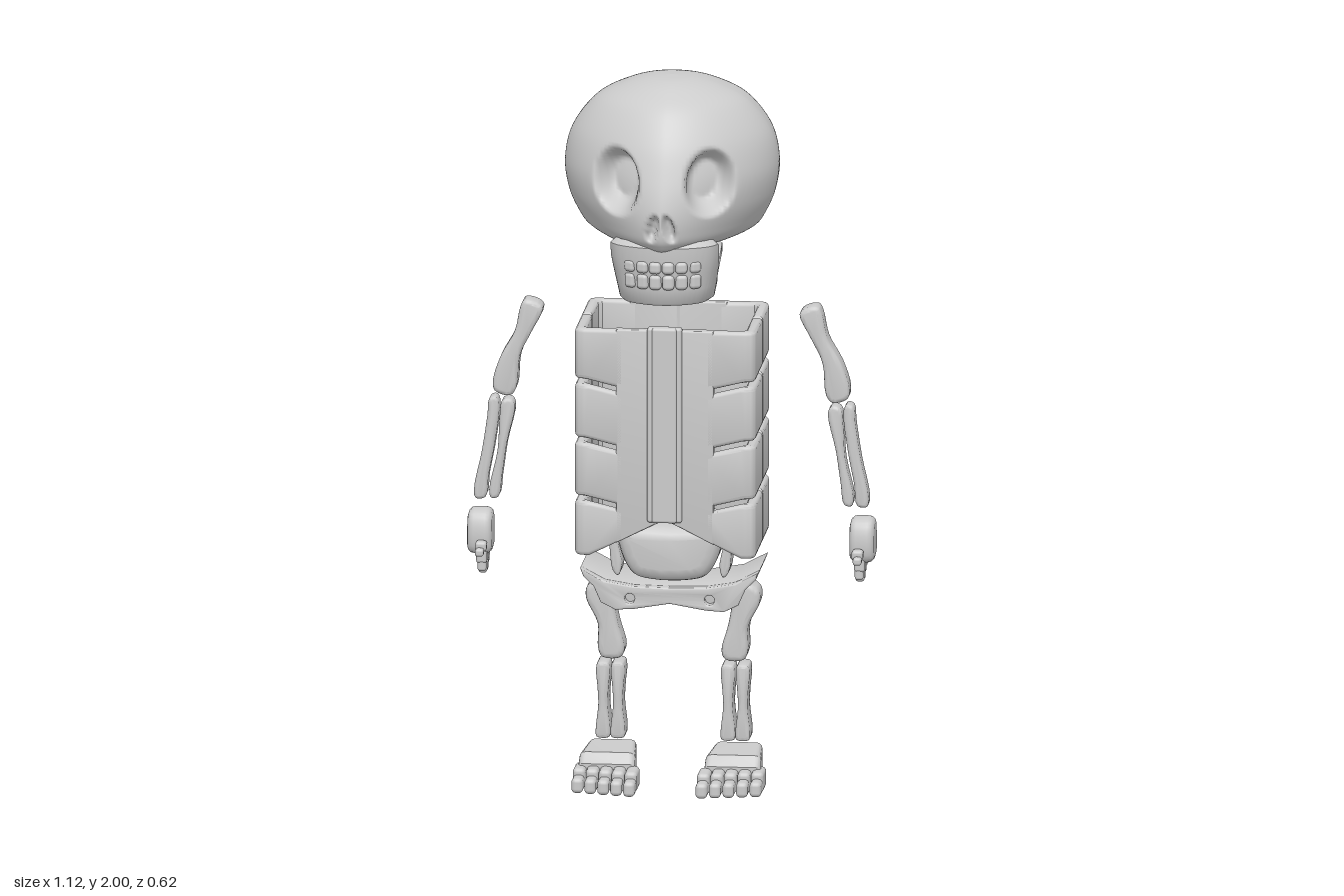
import * as THREE from 'three';
import { mergeVertices, toCreasedNormals } from 'three/addons/utils/BufferGeometryUtils.js';
import { RoundedBoxGeometry } from 'three/addons/geometries/RoundedBoxGeometry.js';

const mat = new THREE.MeshStandardMaterial({ color: 0xcccccc });
const V2 = (p) => new THREE.Vector2(p[0], p[1]);

function add(group, name, geo) {
  const mesh = new THREE.Mesh(geo, mat);
  mesh.name = name;
  group.add(mesh);
  return mesh;
}

// Mirror a geometry in x, keeping faces outward
function mirror(geo) {
  const g = geo.index ? geo.clone() : mergeVertices(geo.clone());
  g.scale(-1, 1, 1);
  const ix = g.index.array;
  for (let i = 0; i < ix.length; i += 3) [ix[i], ix[i + 1]] = [ix[i + 1], ix[i]];
  return g;
}

function addPair(group, name, geo) {
  add(group, name + 'Left', geo);
  add(group, name + 'Right', mirror(geo));
}

// Flat piece with bevelled rim, centred on z = 0
function slab(points, depth, { smooth = false, bevel = 0.01, holes = [] } = {}) {
  const pts = points.map(V2);
  const shape = new THREE.Shape();
  if (smooth) {
    const curve = new THREE.CatmullRomCurve3(pts.map((p) => new THREE.Vector3(p.x, p.y, 0)), true);
    shape.setFromPoints(curve.getPoints(pts.length * 4).slice(0, -1).map((p) => new THREE.Vector2(p.x, p.y)));
  } else shape.setFromPoints(pts);
  for (const [x, y, r] of holes) shape.holes.push(new THREE.Path().absarc(x, y, r, 0, Math.PI * 2, true));
  const g = new THREE.ExtrudeGeometry(shape, {
    depth: depth - 2 * bevel, bevelSize: bevel, bevelThickness: bevel, bevelOffset: -bevel, bevelSegments: 3, curveSegments: 12,
  });
  g.translate(0, 0, -depth / 2 + bevel);
  return toCreasedNormals(g, 0.6);
}

// Skin through closed rings of points
function loft(rings) {
  const n = rings[0].length, idx = [];
  for (let i = 0; i < rings.length - 1; i++) for (let j = 0; j < n; j++) {
    const a = i * n + j, b = i * n + (j + 1) % n;
    idx.push(a, b, a + n, b, b + n, a + n);
  }
  const g = new THREE.BufferGeometry().setFromPoints(rings.flat());
  g.setIndex(idx);
  g.computeVertexNormals();
  return g;
}

const box = (w, h, d, x, y, z, r = 0.012) => new RoundedBoxGeometry(w, h, d, 3, r).translate(x, y, z);
const smoothstep = THREE.MathUtils.smoothstep;

function cranium() {
  // y, half width, front z, back z
  const rows = [[2, 0, 0, 0], [1.993, 0.07, 0.07, -0.08], [1.972, 0.14, 0.13, -0.15], [1.93, 0.215, 0.19, -0.22],
    [1.85, 0.275, 0.245, -0.28], [1.76, 0.295, 0.282, -0.308], [1.68, 0.285, 0.305, -0.31],
    [1.62, 0.26, 0.31, -0.285], [1.58, 0.23, 0.3, -0.235], [1.555, 0.17, 0.26, -0.16], [1.545, 0.08, 0.12, -0.07], [1.545, 0, 0, 0]];
  const front = new THREE.CatmullRomCurve3(rows.map((r) => new THREE.Vector3(r[1], r[0], r[2])), false, 'catmullrom');
  const back = new THREE.CatmullRomCurve3(rows.map((r) => new THREE.Vector3(0, r[0], r[3])), false, 'catmullrom');
  const rings = [], NU = 160, NV = 110;
  for (let i = 0; i <= NV; i++) {
    const f = front.getPoint(i / NV), zb = back.getPoint(i / NV).z, ring = [];
    const pointed = 2 / (1.45 + 0.25 * smoothstep(f.y, 1.56, 1.78));
    for (let j = 0; j < NU; j++) {
      const a = (j / NU) * Math.PI * 2, c = Math.cos(a), s = Math.sin(a);
      const e = s > 0 ? pointed : 0.9;
      const p = new THREE.Vector3(f.x * Math.sign(c) * Math.abs(c) ** e, f.y, (s > 0 ? f.z : -zb) * Math.sign(s) * Math.abs(s) ** e);
      if (s > 0) {
        // Eye sockets and nose openings pressed inward
        const side = Math.sign(p.x), ax = Math.abs(p.x), y = p.y;
        const eye = 1 - smoothstep(Math.hypot((ax - 0.13) / 0.064, (y - 1.747) / 0.09), 0.55, 1.08);
        const nose = 1 - smoothstep(Math.hypot((ax - 0.015 - (1.665 - y) * 0.2) / 0.015, (y - 1.63) / 0.04), 0.5, 1.1);
        p.x -= side * 0.025 * eye;
        p.z -= 0.07 * eye + 0.035 * nose;
      }
      ring.push(p);
    }
    rings.push(ring);
  }
  return loft(rings);
}

function jaw() {
  const half = [[0.118, -0.03], [0.122, 0.04], [0.128, 0.1], [0.126, 0.16], [0.108, 0.212], [0.062, 0.247]];
  const path = [...half, [0, 0.262], ...half.slice().reverse().map(([x, z]) => [-x, z])];
  const curve = new THREE.CatmullRomCurve3(path.map(([x, z]) => new THREE.Vector3(x, 0, z)));
  // inward offset and share of the height
  const section = [[0.006, 0], [0, 0.04], [0, 0.25], [0, 0.5], [0, 0.75], [0.004, 0.92], [0.02, 1], [0.03, 0.96], [0.03, 0.04], [0.024, 0]];
  const rings = [], N = 120;
  for (let i = 0; i <= N; i++) {
    const p = curve.getPointAt(i / N), t = curve.getTangentAt(i / N);
    const ramus = 1.455 + 0.075 * (1 - smoothstep(p.z, 0.01, 0.055));
    const top = ramus + (1.585 - ramus) * smoothstep(p.z, 0.125, 0.185);
    rings.push(section.map(([o, k]) => {
      const y = 1.405 + k * (top - 1.405), h = (y - 1.405) / 0.17;
      return new THREE.Vector3((p.x - t.z * o) * (1 + 0.28 * h), y, p.z + t.x * o + 0.025 * h * smoothstep(p.z, 0, 0.25));
    }));
  }
  const cap = (ring) => {
    const c = ring.reduce((s, p) => s.add(p), new THREE.Vector3()).divideScalar(ring.length);
    return ring.map(() => c.clone());
  };
  return toCreasedNormals(loft([cap(rings[0]), ...rings, cap(rings[N])]), 0.7);
}

// Corner-shaped rib; upper and lower edges follow rules of x
function rib(lower, upper) {
  const s = new THREE.Shape();
  s.moveTo(0.12, 0.195).lineTo(0.21, 0.195).lineTo(0.222, 0.195).quadraticCurveTo(0.25, 0.195, 0.25, 0.167);
  s.lineTo(0.25, 0.006).lineTo(0.22, 0.006).lineTo(0.22, 0.155).lineTo(0.21, 0.165).lineTo(0.12, 0.165);
  const b = 0.011;
  const g = new THREE.ExtrudeGeometry(s, { depth: 0.14 - 2 * b, bevelSize: b, bevelThickness: b, bevelOffset: -b, bevelSegments: 3, curveSegments: 6 });
  g.rotateX(Math.PI / 2);
  const p = g.attributes.position;
  for (let i = 0; i < p.count; i++) {
    const x = p.getX(i), t = (p.getY(i) - b) / 0.14 + 1;
    p.setY(i, THREE.MathUtils.lerp(lower(x), upper(x), t));
  }
  return toCreasedNormals(g, 0.6);
}

export function createModel() {
  const model = new THREE.Group();
  model.name = 'skeleton';

  // Head
  const head = new THREE.Group();
  head.name = 'head';
  model.add(head);
  add(head, 'cranium', cranium());
  add(head, 'jaw', jaw());
  for (let k = 0; k < 6; k++) {
    const x = (k - 2.5) * 0.035, z = 0.275 - 3.6 * x * x;
    for (const [name, y, h] of [['upperTooth', 1.516, 0.034], ['lowerTooth', 1.474, 0.042]]) {
      const m = add(head, name, new RoundedBoxGeometry(0.033, h, 0.03, 3, 0.011));
      m.position.set(x, y, z - (y < 1.5 ? 0.006 : 0));
      m.rotation.y = Math.atan(7.2 * x);
    }
  }

  // Spine with a notched neck
  add(model, 'spine', slab([[-0.215, 0.78], [-0.17, 0.8], [-0.165, 1.33], [-0.13, 1.34], [-0.13, 1.455], [-0.165, 1.465],
    [-0.165, 1.5], [-0.14, 1.505], [-0.14, 1.57], [-0.215, 1.57]].reverse(), 0.09, { bevel: 0.005 }).rotateY(-Math.PI / 2));

  // Rib cage: four ribs per quarter, plus plates beside spine and sternum
  const cage = new THREE.Group();
  cage.name = 'ribCage';
  model.add(cage);
  const sag = (y) => (x) => y - 0.25 * Math.max(0, 0.22 - x);
  const hem = (x) => 0.68 + 0.5 * Math.max(0, 0.21 - x);
  const edges = [[sag(1.178), () => 1.32], [sag(1.012), sag(1.164)], [sag(0.848), sag(0.998)], [hem, sag(0.834)]];
  const plate = slab([[0, 0.785], [0.135, hem(0.135)], [0.135, 1.32], [0, 1.32]], 0.03, { bevel: 0.005 }).translate(0, 0, 0.18);
  for (const turn of [0, Math.PI]) {
    const end = turn ? 'back' : 'front';
    for (const [lo, hi] of edges) addPair(cage, end + 'Rib', rib(lo, hi).rotateY(turn));
    addPair(cage, end + 'Plate', plate.clone().rotateY(turn));
  }
  add(cage, 'sternum', box(0.096, 0.55, 0.03, 0, 1.055, 0.195, 0.008));
  add(cage, 'sternumRidge', box(0.07, 0.55, 0.03, 0, 1.055, 0.199, 0.008));

  // Belly and floating ribs
  add(model, 'belly', slab([[-0.14, 0.73], [-0.135, 0.66], [-0.1, 0.6], [-0.05, 0.585], [0.05, 0.585], [0.1, 0.6],
    [0.135, 0.66], [0.14, 0.73], [0, 0.735]], 0.17, { smooth: true, bevel: 0.035 }));
  add(model, 'bellyArch', new THREE.TubeGeometry(new THREE.CatmullRomCurve3([[-0.13, 0.73], [-0.07, 0.765], [0.07, 0.765], [0.13, 0.73]]
    .map(([x, y]) => new THREE.Vector3(x, y, 0.03))), 24, 0.013, 8));
  addPair(model, 'floatingRib', slab([[0.15, 0.76], [0.145, 0.68], [0.135, 0.62], [0.145, 0.59], [0.16, 0.605], [0.17, 0.68], [0.18, 0.74]],
    0.09, { smooth: true, bevel: 0.008 }));

  // Pelvis: long body with a pierced front plate
  const side = [[0.1, 0.503], [0.15, 0.5], [0.19, 0.52], [0.21, 0.565], [0.238, 0.592], [0.247, 0.615], [0.18, 0.58], [0.1, 0.567]];
  const outline = [[0, 0.52], ...side, [0, 0.565], ...side.slice().reverse().map(([x, y]) => [-x, y])];
  add(model, 'pelvis', slab(outline, 0.22, { bevel: 0.004 }).translate(0, 0, -0.07));
  add(model, 'pelvisFront', slab(outline, 0.032, { bevel: 0.004, holes: [[0.11, 0.532, 0.014], [-0.11, 0.532, 0.014]] }).translate(0, 0, 0.055));

  // Arms
  addPair(model, 'upperArm', slab([[0.355, 1.335], [0.37, 1.352], [0.405, 1.358], [0.416, 1.34], [0.432, 1.27], [0.47, 1.2],
    [0.492, 1.13], [0.487, 1.1], [0.445, 1.088], [0.428, 1.11], [0.418, 1.2], [0.385, 1.27]].reverse(), 0.072, { smooth: true, bevel: 0.012 }));
  addPair(model, 'innerForearm', slab([[0.433, 1.06], [0.445, 1.078], [0.467, 1.072], [0.474, 1.03], [0.48, 0.93], [0.503, 0.82],
    [0.498, 0.797], [0.478, 0.8], [0.468, 0.86], [0.455, 0.95]].reverse(), 0.06, { smooth: true, bevel: 0.01 }));
  addPair(model, 'outerForearm', slab([[0.476, 1.065], [0.485, 1.083], [0.502, 1.078], [0.508, 1.03], [0.523, 0.93], [0.545, 0.82],
    [0.54, 0.795], [0.514, 0.798], [0.505, 0.86], [0.488, 0.95]].reverse(), 0.06, { smooth: true, bevel: 0.01 }));
  addPair(model, 'palm', slab([[-0.055, 0.68], [-0.042, 0.647], [0.045, 0.647], [0.058, 0.69], [0.048, 0.745], [0.03, 0.76], [-0.03, 0.76], [-0.046, 0.74]],
    0.068, { smooth: true, bevel: 0.018 }).rotateY(-Math.PI / 2).translate(0.528, 0, 0));
  for (let k = 0; k < 4; k++) {
    const z = -0.036 + k * 0.025, tip = [0.012, 0, 0, 0.008][k];
    addPair(model, 'fingerBase', box(0.03, 0.04, 0.023, 0.522, 0.636, z, 0.009));
    addPair(model, 'fingerTip', box(0.024, 0.036 - tip / 2, 0.021, 0.521, 0.602 + tip, z, 0.008));
  }
  addPair(model, 'thumbBase', box(0.032, 0.028, 0.034, 0.52, 0.672, 0.073, 0.009));
  addPair(model, 'thumbTip', box(0.024, 0.022, 0.028, 0.522, 0.66, 0.098, 0.008));

  // Legs
  addPair(model, 'thigh', slab([[0.16, 0.55], [0.2, 0.565], [0.236, 0.545], [0.24, 0.51], [0.208, 0.44], [0.207, 0.37], [0.195, 0.345],
    [0.145, 0.345], [0.134, 0.37], [0.152, 0.44], [0.162, 0.5]].reverse(), 0.09, { smooth: true, bevel: 0.015 }).translate(0, 0, -0.055));
  for (const [name, x] of [['innerShin', 0.152], ['outerShin', 0.193]]) {
    const h = [[0.017, 0.12], [0.02, 0.14], [0.013, 0.21], [0.015, 0.26], [0.019, 0.31], [0.014, 0.33]];
    addPair(model, name, slab([...h.map(([w, y]) => [x + w, y]), ...h.slice().reverse().map(([w, y]) => [x - w, y])],
      0.09, { smooth: true, bevel: 0.01 }).translate(0, 0, -0.055));
  }

  // Feet: heel block widening forward, five toes
  const foot = slab([[-0.12, 0.005], [-0.12, 0.08], [-0.1, 0.095], [0.05, 0.093], [0.075, 0.065], [0.075, 0.005]].reverse(), 0.14, { bevel: 0.016 })
    .rotateY(-Math.PI / 2);
  const fp = foot.attributes.position;
  for (let i = 0; i < fp.count; i++) fp.setX(i, fp.getX(i) * (1.05 + 1.1 * fp.getZ(i)) + 0.174);
  addPair(model, 'foot', toCreasedNormals(foot, 0.6));
  for (let k = 0; k < 5; k++) {
    const x = 0.1 + k * 0.0365, reach = 0.19 - k * 0.008;
    addPair(model, 'toeBase', box(0.035, 0.058, 0.09, x, 0.03, reach - 0.09, 0.012));
    addPair(model, 'toeTip', box(0.032, 0.042, 0.06, x, 0.021, reach - 0.025, 0.012));
  }
  return model;
}
